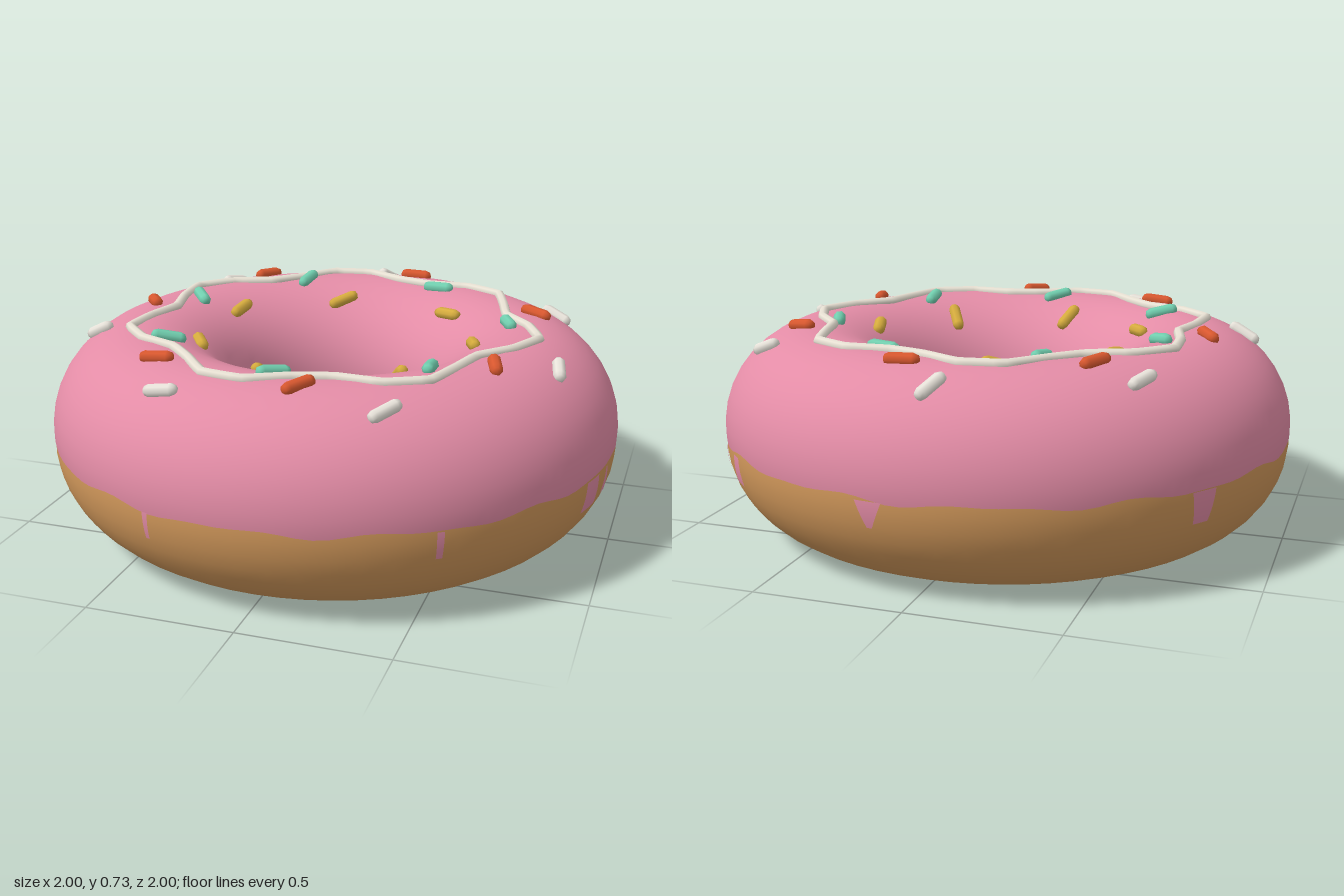
import * as THREE from 'three';

const RING = 0.668;      // centre line radius of the ring
const ICING_Y = 0.372, ICING_R = 0.332;
const DOUGH_Y = 0.33, DOUGH_R = 0.33;
const rad = THREE.MathUtils.degToRad;

const paint = (name, color) => {
  const m = new THREE.MeshStandardMaterial({ color });
  m.name = name;
  return m;
};

// Part of a torus surface; rule(u, v) gives [angle round the ring, angle round the tube]
function torusPatch(r, cy, segU, segV, rule) {
  const g = new THREE.PlaneGeometry(1, 1, segU, segV);
  const { position: p, normal: n, uv } = g.attributes;
  for (let i = 0; i < p.count; i++) {
    const [t, f] = rule(uv.getX(i), uv.getY(i));
    const nx = Math.cos(f) * Math.cos(t), ny = Math.sin(f), nz = Math.cos(f) * Math.sin(t);
    p.setXYZ(i, RING * Math.cos(t) + r * nx, cy + r * ny, RING * Math.sin(t) + r * nz);
    n.setXYZ(i, nx, ny, nz);
  }
  return g;
}

export function createModel() {
  const model = new THREE.Group();
  model.name = 'doughnut';
  const dough = paint('dough', 0xd0975a);
  const pink = paint('pinkIcing', 0xe38ca6);
  pink.side = THREE.DoubleSide;
  const cream = paint('creamDrizzle', 0xefe8da);
  const add = (name, geometry, material, parent = model) => {
    const m = new THREE.Mesh(geometry, material);
    m.name = name;
    parent.add(m);
    return m;
  };

  // Dough: lower half of the ring, tucked under the icing
  add('dough', torusPatch(DOUGH_R, DOUGH_Y, 64, 20, (u, v) =>
    [-u * Math.PI * 2, rad(-186 + 192 * v)]), dough);

  // Icing: upper half with a wavy rim
  add('icing', torusPatch(ICING_R, ICING_Y, 128, 20, (u, v) => {
    const t = -u * Math.PI * 2;
    const rim = rad(-5.5 + 1.2 * Math.sin(t * 13) + 0.8 * Math.sin(t * 22 + 1));
    return [t, rim + (Math.PI - 2 * rim) * v];
  }), pink);

  // Drips: [angle, half width at top, half width at bottom, lowest tube angle], degrees
  const drips = new THREE.Group();
  drips.name = 'drips';
  model.add(drips);
  [
    [8.5, 0.4, 1.3, -15], [15.8, 2.6, 3, -18], [54, 0.7, 0.6, -15], [107.5, 0.6, 0.4, -15],
    [215, 2.8, 1.8, -18], [276, 2.6, 0.5, -14], [315, 1.5, 2.2, -16], [324, 0.5, 0.3, -13],
  ].forEach(([a, top, bottom, low]) => {
    add('drip', torusPatch(0.333, DOUGH_Y, 4, 6, (u, v) => {
      const half = THREE.MathUtils.lerp(bottom, top, v);
      return [rad(a + half * (1 - 2 * u)), rad(low + (1 - low) * v)];
    }), pink, drips);
  });

  // Drizzle: seven-lobed angular loop on the crest
  const loop = new THREE.CurvePath();
  const corner = (i) => {
    const t = (i / 30) * Math.PI * 2, r = 0.667 + 0.053 * Math.cos(7 * t);
    return new THREE.Vector3(r * Math.cos(t), 0.703, r * Math.sin(t));
  };
  for (let i = 0; i < 30; i++) loop.add(new THREE.LineCurve3(corner(i), corner(i + 1)));
  const drizzle = new THREE.CatmullRomCurve3(
    Array.from({ length: 30 }, (_, i) => corner(i)), true, 'catmullrom', 0.1);
  add('drizzle', new THREE.TubeGeometry(drizzle, 120, 0.018, 8, true), cream);

  // Sprinkles: x, z, heading in degrees (from +x towards +z)
  const sprinkles = [
    ['white', 0xece7de, [
      [-0.04, -0.84, -60], [-0.615, -0.57, -65], [0.705, -0.47, 20], [-0.80, 0.24, 15],
      [0.815, 0.185, 78], [-0.315, 0.77, 5], [0.39, 0.735, -53]]],
    ['orange', 0xd9582f, [
      [0.105, -0.715, -2], [-0.465, -0.555, -61], [0.655, -0.31, 23], [-0.72, -0.04, 55],
      [0.635, 0.33, 73], [-0.415, 0.585, 0], [0.11, 0.705, -56]]],
    ['mint', 0x72d0b0, [
      [-0.29, -0.535, -82], [0.235, -0.56, 10], [0.585, -0.16, 66], [-0.585, -0.16, 50],
      [-0.48, 0.36, -27], [0.445, 0.405, 85], [-0.01, 0.60, -47]]],
    ['yellow', 0xd6ac3e, [
      [-0.12, -0.465, -40], [0.32, -0.37, 33], [-0.445, -0.205, -80], [0.495, -0.015, 72],
      [-0.425, 0.23, 56], [0.325, 0.335, 56], [-0.095, 0.46, -62]]],
  ];
  const rod = new THREE.CapsuleGeometry(0.022, 0.078, 2, 8);
  const up = new THREE.Vector3(0, 1, 0);
  for (const [name, color, spots] of sprinkles) {
    const group = new THREE.Group();
    group.name = name + 'Sprinkles';
    model.add(group);
    const material = paint(name + 'Sprinkle', color);
    for (const [x, z, heading] of spots) {
      // Rest each rod on the icing, along the surface
      const d = Math.hypot(x, z), off = (d - RING) / ICING_R;
      const n = new THREE.Vector3(off * x / d, Math.sqrt(1 - off * off), off * z / d);
      const dx = Math.cos(rad(heading)), dz = Math.sin(rad(heading));
      const dir = new THREE.Vector3(dx, -(dx * n.x + dz * n.z) / n.y, dz).normalize();
      const m = add(name + 'Sprinkle', rod, material, group);
      m.position.set(x, ICING_Y + ICING_R * n.y, z).addScaledVector(n, 0.006);
      m.quaternion.setFromUnitVectors(up, dir);
    }
  }
  return model;
}
